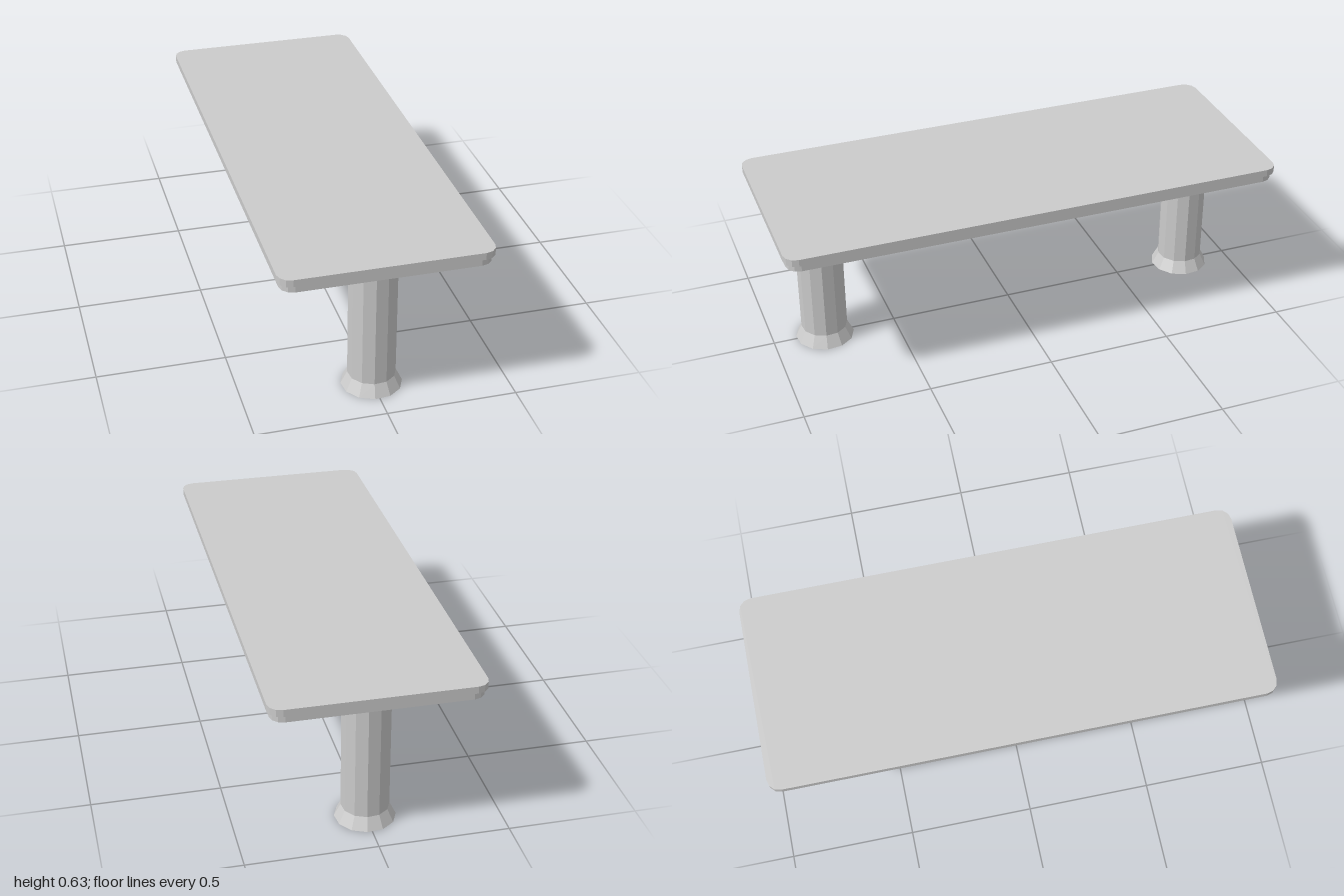
import * as THREE from 'three';

const material = new THREE.MeshStandardMaterial({ color: 0xcccccc, flatShading: true });
const openMaterial = new THREE.MeshStandardMaterial({ color: 0xcccccc, flatShading: true, side: THREE.DoubleSide });

// Horizontal slab with faceted round corners, spanning y0 to y1
function slab(name, halfX, halfZ, radius, y0, y1) {
  const points = [];
  [[1, 1], [-1, 1], [-1, -1], [1, -1]].forEach(([sx, sz], corner) => {
    for (let i = 0; i <= 3; i++) {
      const a = (corner + i / 3) * Math.PI / 2;
      points.push(new THREE.Vector2(
        sx * (halfX - radius) + radius * Math.cos(a),
        sz * (halfZ - radius) + radius * Math.sin(a)));
    }
  });
  const geometry = new THREE.ExtrudeGeometry(new THREE.Shape(points), { depth: y1 - y0, bevelEnabled: false });
  geometry.rotateX(-Math.PI / 2).translate(0, y0, 0);
  const mesh = new THREE.Mesh(geometry, material);
  mesh.name = name;
  return mesh;
}

// Open twelve-sided tube section standing on y0
function tube(name, topRadius, bottomRadius, y0, y1) {
  const geometry = new THREE.CylinderGeometry(topRadius, bottomRadius, y1 - y0, 12, 1, true, THREE.MathUtils.degToRad(21));
  geometry.translate(0, (y0 + y1) / 2, 0);
  const mesh = new THREE.Mesh(geometry, openMaterial);
  mesh.name = name;
  return mesh;
}

export function createModel() {
  const table = new THREE.Group();
  table.name = 'table';

  // Top and the slightly smaller slab below it
  table.add(slab('tableTop', 0.4, 1, 0.05, 0.604, 0.632));
  table.add(slab('underTop', 0.39, 0.99, 0.05, 0.575, 0.604));

  // Round column legs with flared feet, one near each end
  for (const [name, z] of [['frontLeg', 0.79], ['backLeg', -0.79]]) {
    const leg = new THREE.Group();
    leg.name = name;
    leg.position.z = z;
    leg.add(tube('column', 0.092, 0.092, 0.05, 0.575));
    leg.add(tube('flaredFoot', 0.092, 0.117, 0, 0.05));
    table.add(leg);
  }
  return table;
}
